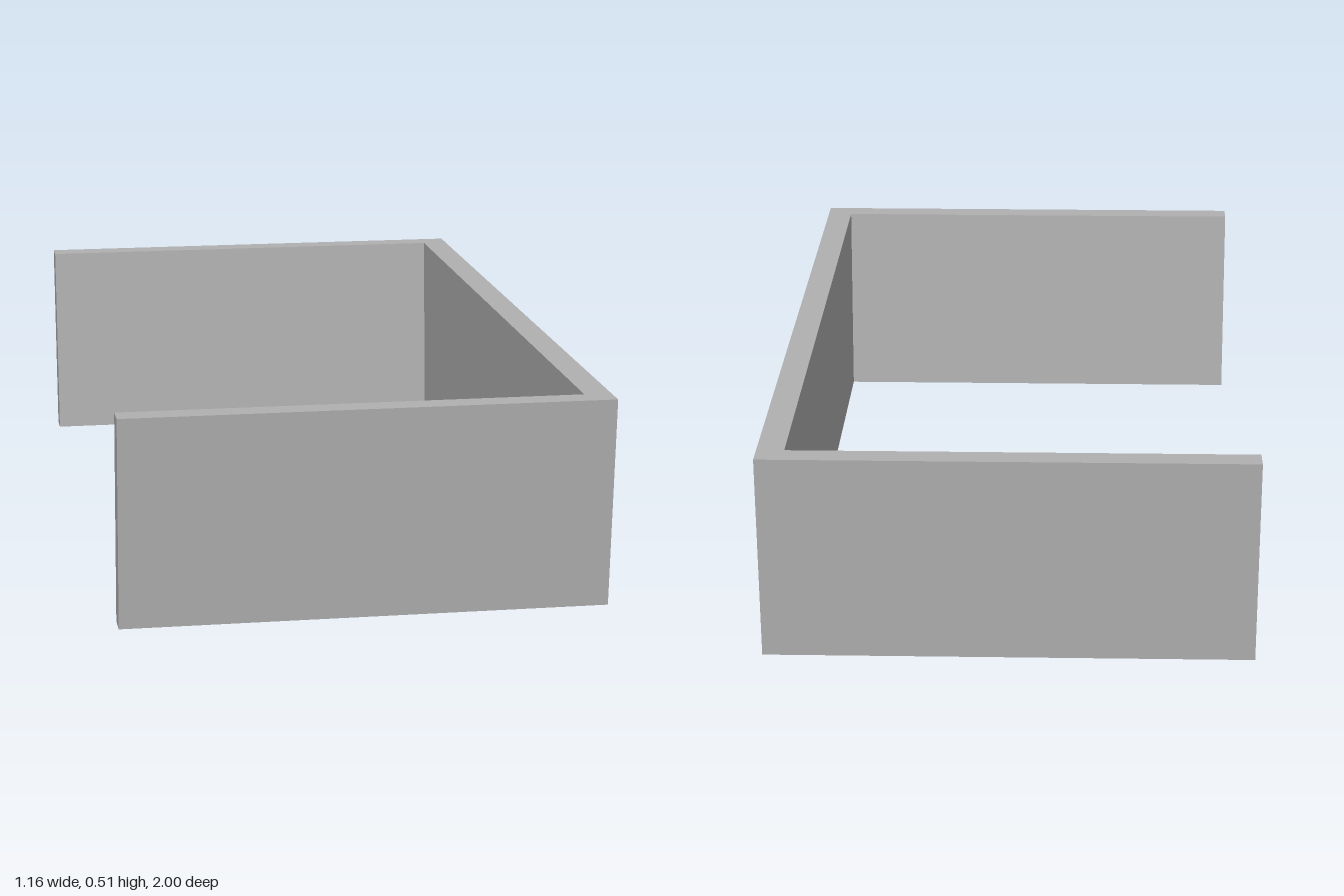
import * as THREE from 'three';
import { toCreasedNormals } from 'three/addons/utils/BufferGeometryUtils.js';

const X = 0.58, WALL = 0.065, H = 0.51;
const OUT_TOP = 1, OUT_BOTTOM = 0.962, ARM = 0.06;

// Extrudes a (z, y) outline along x, from x0 to x1
function extrudeAlongX(shape, x0, x1) {
  const geometry = new THREE.ExtrudeGeometry(shape, { depth: x1 - x0, bevelEnabled: false, curveSegments: 32 });
  geometry.rotateY(-Math.PI / 2).translate(x1, 0, 0);
  return toCreasedNormals(geometry, 0.5);
}

function outline(points) {
  return new THREE.Shape(points.map(([z, y]) => new THREE.Vector2(z, y)));
}

export function createModel() {
  const group = new THREE.Group();
  group.name = 'bracket';
  const metal = new THREE.MeshStandardMaterial({ color: 0xb0b0b0 });
  metal.name = 'grey metal';

  // Back plate: trapezoid with four screw holes
  const plate = outline([[-OUT_BOTTOM, 0], [OUT_BOTTOM, 0], [OUT_TOP, H], [-OUT_TOP, H]]);
  for (const z of [-0.53, 0.53]) {
    for (const y of [0.105, 0.405]) {
      plate.holes.push(new THREE.Path().absarc(z, y, 0.031, 0, Math.PI * 2, true));
    }
  }
  const mountingPlate = new THREE.Mesh(extrudeAlongX(plate, X - WALL, X), metal);
  mountingPlate.name = 'mountingPlate';
  group.add(mountingPlate);

  // Two side arms leaning outwards
  for (const [name, s] of [['frontArm', 1], ['backArm', -1]]) {
    const profile = outline([
      [s * (OUT_BOTTOM - ARM), 0], [s * OUT_BOTTOM, 0],
      [s * OUT_TOP, H], [s * (OUT_TOP - ARM), H],
    ]);
    const arm = new THREE.Mesh(extrudeAlongX(profile, -X, X - WALL), metal);
    arm.name = name;
    group.add(arm);
  }
  return group;
}
